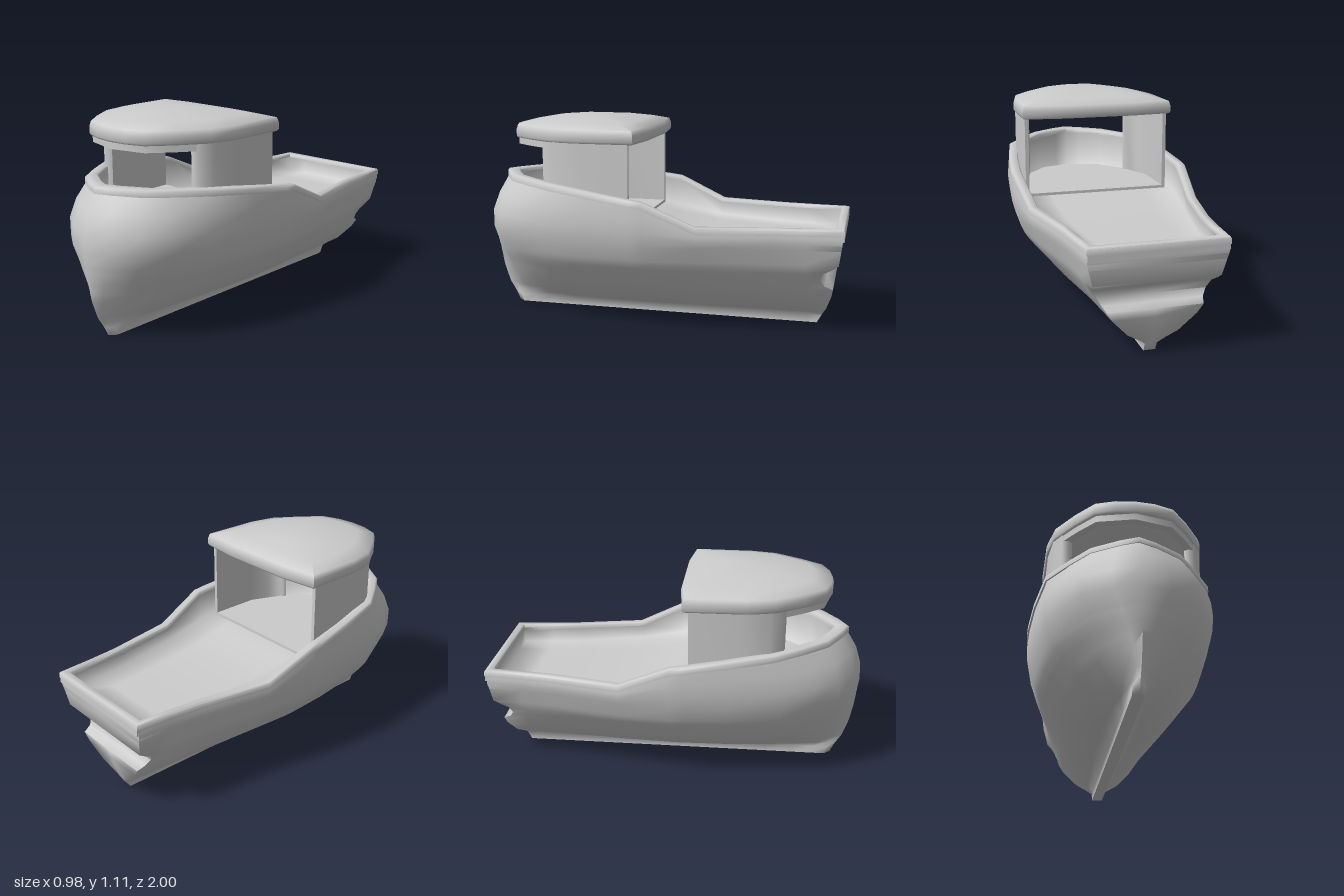
import * as THREE from 'three';
import { toCreasedNormals } from 'three/addons/utils/BufferGeometryUtils.js';

const material = new THREE.MeshStandardMaterial({ color: 0xcccccc, side: THREE.DoubleSide });

// piecewise linear lookup in a table of [key, value]
function lookup(table, k) {
  if (k <= table[0][0]) return table[0][1];
  for (let i = 1; i < table.length; i++) {
    const [k0, v0] = table[i - 1], [k1, v1] = table[i];
    if (k <= k1) return v0 + (v1 - v0) * (k - k0) / (k1 - k0);
  }
  return table[table.length - 1][1];
}

// skin a grid of points; normal = column direction x row direction
function skin(rows, crease) {
  const pos = [];
  const tri = (a, b, c) => {
    const n = b.clone().sub(a).cross(c.clone().sub(a));
    if (n.length() > 1e-8) for (const p of [a, b, c]) pos.push(p.x, p.y, p.z);
  };
  for (let i = 0; i < rows.length - 1; i++) {
    for (let j = 0; j < rows[i].length - 1; j++) {
      const a = rows[i][j], b = rows[i][j + 1], c = rows[i + 1][j + 1], d = rows[i + 1][j];
      tri(a, b, c);
      tri(a, c, d);
    }
  }
  const g = new THREE.BufferGeometry();
  g.setAttribute('position', new THREE.Float32BufferAttribute(pos, 3));
  return toCreasedNormals(g, crease);
}

const V = (x, y, z) => new THREE.Vector3(x, y, z);

// half-width of the boat along its length (u = -1 stern, 1 bow)
const PLAN = [[-1, 0.70], [-0.82, 0.73], [-0.65, 0.77], [-0.27, 0.93], [0, 1], [0.07, 0.995], [0.3, 0.95],
  [0.57, 0.88], [0.74, 0.72], [0.87, 0.56], [0.96, 0.28], [1, 0]];
// top of the rail, and deck height, along z
const SHEER = [[-1, 0.58], [-0.27, 0.58], [0, 0.70], [0.5, 0.765], [0.92, 0.78]];
const DECK = [[-1, 0.475], [-0.3, 0.48], [0.03, 0.53], [0.06, 0.545], [1, 0.55]];

// stations from the bow down the left side, across the stern, back up the right side
const half = PLAN.map(([u, w]) => ({ u, w, side: 1 })).reverse();
const LOOP = [...half, { u: -1, w: 0, side: 0 }, ...half.map((s) => ({ ...s, side: -1 })).reverse()];

// share of the full width at a station, with the bow drawn in by the sharpness
const taper = ({ u, w }, sharp) => Math.pow(w, 1 + (sharp - 1) * THREE.MathUtils.smoothstep(u, 0.25, 0.8));

// hull levels: [height, share of the way up to the rail, half-width, bow z, stern z, bow sharpness]
const LEVELS = [
  [0.07, 0, 0.09, 0.905, -0.895, 1.6],
  [0.11, 0, 0.18, 0.93, -0.912, 1.8],
  [0.20, 0, 0.298, 0.96, -0.94, 1.7],
  [0.245, 0, 0.338, 0.97, -0.948, 1.55],
  [0.265, 0, 0.355, 0.973, -0.905, 1.5],
  [0.30, 0, 0.385, 0.98, -0.885, 1.4],
  [0.34, 0, 0.417, 0.985, -0.898, 1.3],
  [0.365, 0, 0.433, 0.988, -0.94, 1.25],
  [0.39, 0, 0.445, 0.99, -0.975, 1.2],
  [0.47, 0, 0.473, 1.0, -0.985, 1],
  [0.47, 0.33, 0.485, 0.995, -0.99, 1],
  [0.47, 0.66, 0.487, 0.965, -0.99, 1.15],
  [0.47, 1, 0.48, 0.905, -0.985, 1.38],
];

function hullGeometry() {
  // keel strip of even width: bottom centre, bottom edge, top edge
  const keel = [[0, 0, 0.87, -0.86], [0, 0.03, 0.87, -0.86], [0.045, 0.03, 0.89, -0.885]].map(([y, x, bow, stern]) =>
    LOOP.map(({ u, w, side }) => V(w > 0 ? side * x : 0, y, u > 0 ? u * bow : Math.max(u * 0.99, stern))));
  const sides = LEVELS.map(([y, f, width, bow, stern, sharp]) => LOOP.map((s) => {
    const z = s.u > 0 ? s.u * bow : Math.max(s.u * 0.99, stern);
    return V(s.side * width * taper(s, sharp), y + f * (lookup(SHEER, z) - 0.02 - y), z);
  }));
  return skin([...keel, ...sides], 1.45);
}

// point on the rail line; inner = 1 gives the inboard edge
function railPoint(s, inner, drop) {
  const z = s.u * (s.u > 0 ? 0.92 : 1);
  const zIn = z * (s.u > 0 ? 0.915 : 0.955);
  return V(s.side * taper(s, 1.38) * 0.491 * (inner ? 0.895 : 1), lookup(SHEER, z) - drop, inner ? zIn : z);
}

function railGeometry() {
  const section = [[1, 0.035], [0, 0.035], [0, 0.008], [0.15, 0], [0.85, 0], [1, 0.008], [1, 0.035]];
  return skin(section.map(([k, drop]) => LOOP.map((s) =>
    railPoint(s, 0, drop).lerp(railPoint(s, 1, drop), k))), 1.0);
}

// deck with the inner faces of the bulwarks and transom
function deckGeometry() {
  const across = [1, 1, 0.6, 0.2, -0.2, -0.6, -1, -1];
  const row = (s, raised) => across.map((k, j) => {
    const p = railPoint(s, 1, 0.02);
    const edge = j === 0 || j === across.length - 1;
    return V(p.x * k, edge || raised ? p.y : lookup(DECK, p.z), p.z);
  });
  const stations = [...half].reverse();
  return skin([row(stations[0], true), ...stations.map((s) => row(s, false))], 1.7);
}

// domed roof: rings of one outline, narrowing towards the front
function roofGeometry() {
  const side = [[0, 0.82], [0.1, 0.81], [0.2, 0.775], [0.29, 0.665], [0.385, 0.52], [0.415, 0.38], [0.42, 0.06], [0.2, 0.035]];
  const outline = [...side, [0, 0.035], ...side.map(([x, z]) => [-x, z]).reverse()];
  const rings = [[0, 0.98], [0.985, 0.98], [1, 0.99], [1, 1.025], [0.98, 1.05], [0.75, 1.073], [0.48, 1.092], [0, 1.11]];
  return skin(rings.map(([s, y]) => outline.map(([x, z]) => V(x * s, y, 0.42 + (z - 0.42) * s))), 1.2);
}

// plan polygon of [x, z] points raised from y0 to y1
function slab(points, y0, y1) {
  const shape = new THREE.Shape(points.map(([x, z]) => new THREE.Vector2(x, -z)));
  const g = new THREE.ExtrudeGeometry(shape, { depth: y1 - y0, bevelEnabled: false });
  g.rotateX(-Math.PI / 2).translate(0, y0, 0);
  return toCreasedNormals(g, 1.0);
}

// the same points on the right side, in reverse order
const mirror = (pts) => pts.filter(([x]) => x > 0).map(([x, z]) => [-x, z]).reverse();

export function createModel() {
  const group = new THREE.Group();
  const add = (name, geometry) => {
    const mesh = new THREE.Mesh(geometry, material);
    mesh.name = name;
    group.add(mesh);
    return mesh;
  };

  add('hull', hullGeometry());
  add('deck', deckGeometry());
  add('rail', railGeometry());
  add('sternRail', new THREE.BoxGeometry(0.68, 0.055, 0.04)).position.set(0, 0.546, -0.979);

  // cabin floor, a step above the deck
  const floor = [[0, 0.78], [0.17, 0.73], [0.3, 0.57], [0.39, 0.35], [0.4, 0.09]];
  add('cabinFloor', slab([...floor, ...mirror(floor)], 0.5, 0.56));

  // cabin side walls, turning in to the front window posts
  const wall = [[0.405, 0.09], [0.405, 0.35], [0.385, 0.5], [0.345, 0.57], [0.31, 0.575], [0.292, 0.56],
    [0.3, 0.54], [0.335, 0.53], [0.365, 0.48], [0.385, 0.35], [0.385, 0.09]];
  add('leftCabinWall', slab(wall, 0.5, 0.985));
  add('rightCabinWall', slab(mirror(wall), 0.5, 0.985));

  // header above the window, following the roof's front
  const outer = [[0.345, 0.56], [0.28, 0.655], [0.19, 0.765], [0, 0.812]];
  const inner = [[0, 0.77], [0.17, 0.725], [0.25, 0.63], [0.3, 0.55]];
  add('windowHeader', slab([...outer, ...mirror(outer), ...mirror(inner), ...inner], 0.945, 0.985));

  add('roof', roofGeometry());
  return group;
}
